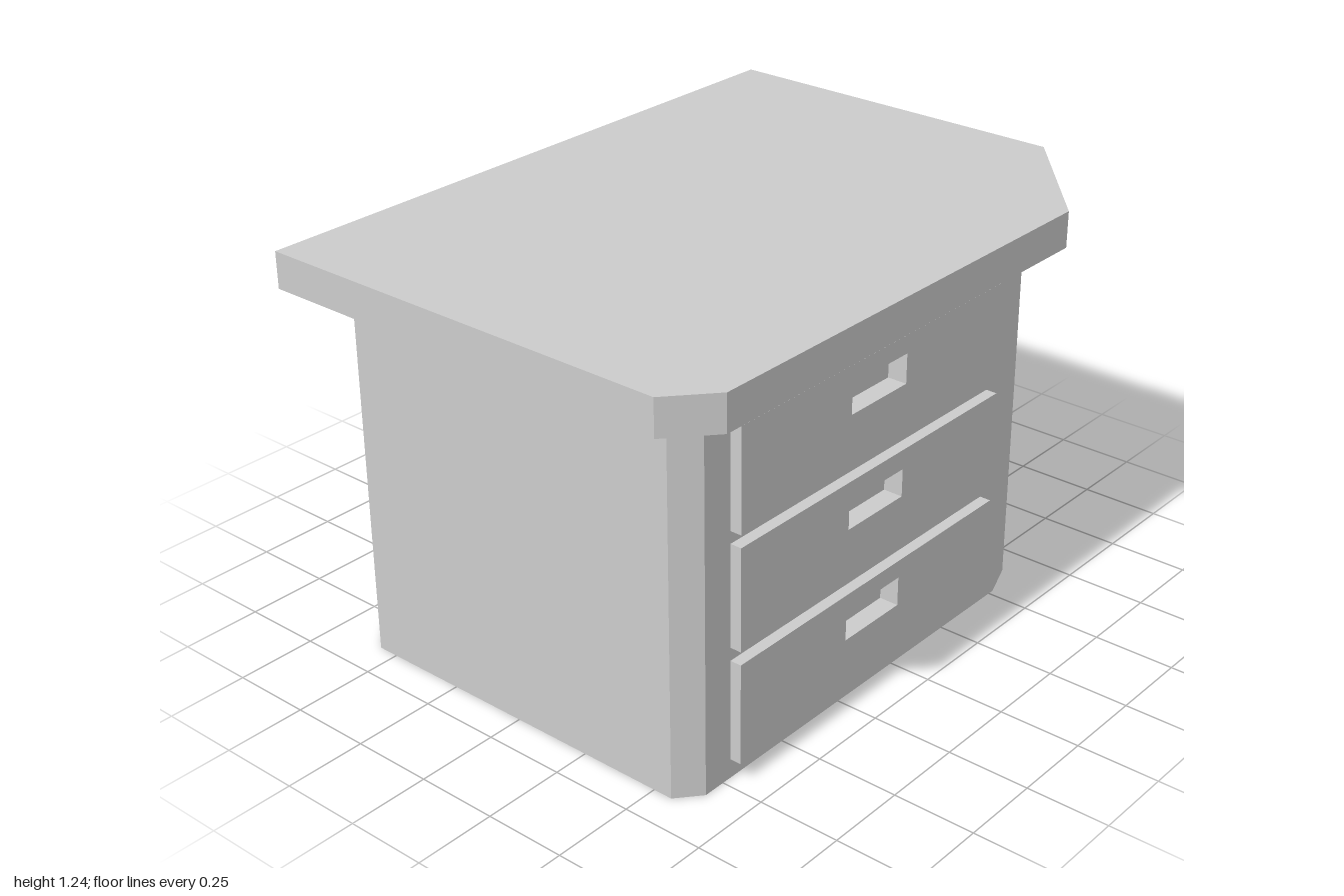
import * as THREE from 'three';

const material = new THREE.MeshStandardMaterial({ color: 0xcccccc, flatShading: true });
const sheet = new THREE.MeshStandardMaterial({ color: 0xcccccc, flatShading: true, side: THREE.DoubleSide });

function add(parent, name, geometry, mat = material) {
  const mesh = new THREE.Mesh(geometry, mat);
  mesh.name = name;
  parent.add(mesh);
  return mesh;
}

const polygon = (points) => new THREE.Shape(points.map(([x, y]) => new THREE.Vector2(x, y)));
const rectangle = (x0, x1, y0, y1) => [[x0, y0], [x1, y0], [x1, y1], [x0, y1]];

// Thin upright walls following a floor path of [x, z] points, outside to the right
function walls(path, height) {
  const positions = [];
  for (let i = 0; i < path.length - 1; i++) {
    const [ax, az] = path[i];
    const [bx, bz] = path[i + 1];
    positions.push(ax, 0, az, bx, 0, bz, bx, height, bz);
    positions.push(ax, 0, az, bx, height, bz, ax, height, az);
  }
  const geometry = new THREE.BufferGeometry();
  geometry.setAttribute('position', new THREE.Float32BufferAttribute(positions, 3));
  geometry.computeVertexNormals();
  return geometry;
}

export function createModel() {
  const model = new THREE.Group();
  model.name = 'drawerCabinet';

  const bodyHeight = 1.13;
  const wallZ = 0.62;
  const frontZ = 0.655;
  const backZ = -0.62;
  const recessDepth = 0.06;
  const left = -0.72;
  const right = 0.42;
  const drawerRows = [
    { y0: 0.06, y1: 0.37, grip: [0.225, 0.315] },
    { y0: 0.41, y1: 0.72, grip: [0.575, 0.66] },
    { y0: 0.757, y1: 1.065, grip: [0.92, 1.01] },
  ];

  // Worktop with two clipped front corners
  const outline = [[-1, -0.735], [1, -0.735], [1, 0.4], [0.61, 0.735], [-0.87, 0.735], [-1, 0.62]];
  const topShape = polygon(outline.map(([x, z]) => [x, -z]));
  const top = new THREE.ExtrudeGeometry(topShape, { depth: 0.11, bevelEnabled: false });
  top.rotateX(-Math.PI / 2).translate(0, bodyHeight, 0);
  add(model, 'worktop', top);

  // Cabinet sides and back, open underneath
  const path = [
    [0.52, wallZ], [0.64, 0.575], [0.95, 0.29], [1, 0.2], [1, -0.655],
    [-0.79, -0.655], [-0.89, -0.565], [-0.89, 0.56], [-0.82, wallZ],
  ];
  add(model, 'cabinetWalls', walls(path, bodyHeight), sheet);

  // Front panel with drawer openings
  const panel = polygon(rectangle(-0.82, 0.52, 0, bodyHeight));
  for (const { y0, y1 } of drawerRows) panel.holes.push(polygon(rectangle(left, right, y0, y1)));
  add(model, 'frontPanel', new THREE.ShapeGeometry(panel).translate(0, 0, wallZ), sheet);

  // Drawers: a pierced front plate over a solid box makes the finger recess
  for (const { y0, y1, grip } of drawerRows) {
    const drawer = new THREE.Group();
    drawer.name = 'drawer';
    const plate = polygon(rectangle(left, right, y0, y1));
    plate.holes.push(polygon(rectangle(-0.27, -0.03, ...grip)));
    const front = new THREE.ExtrudeGeometry(plate, { depth: recessDepth, bevelEnabled: false });
    add(drawer, 'drawerFront', front.translate(0, 0, frontZ - recessDepth));

    const depth = frontZ - recessDepth - backZ;
    const box = new THREE.BoxGeometry(right - left, y1 - y0, depth);
    add(drawer, 'drawerBox', box.translate((left + right) / 2, (y0 + y1) / 2, backZ + depth / 2));
    model.add(drawer);
  }

  return model;
}
